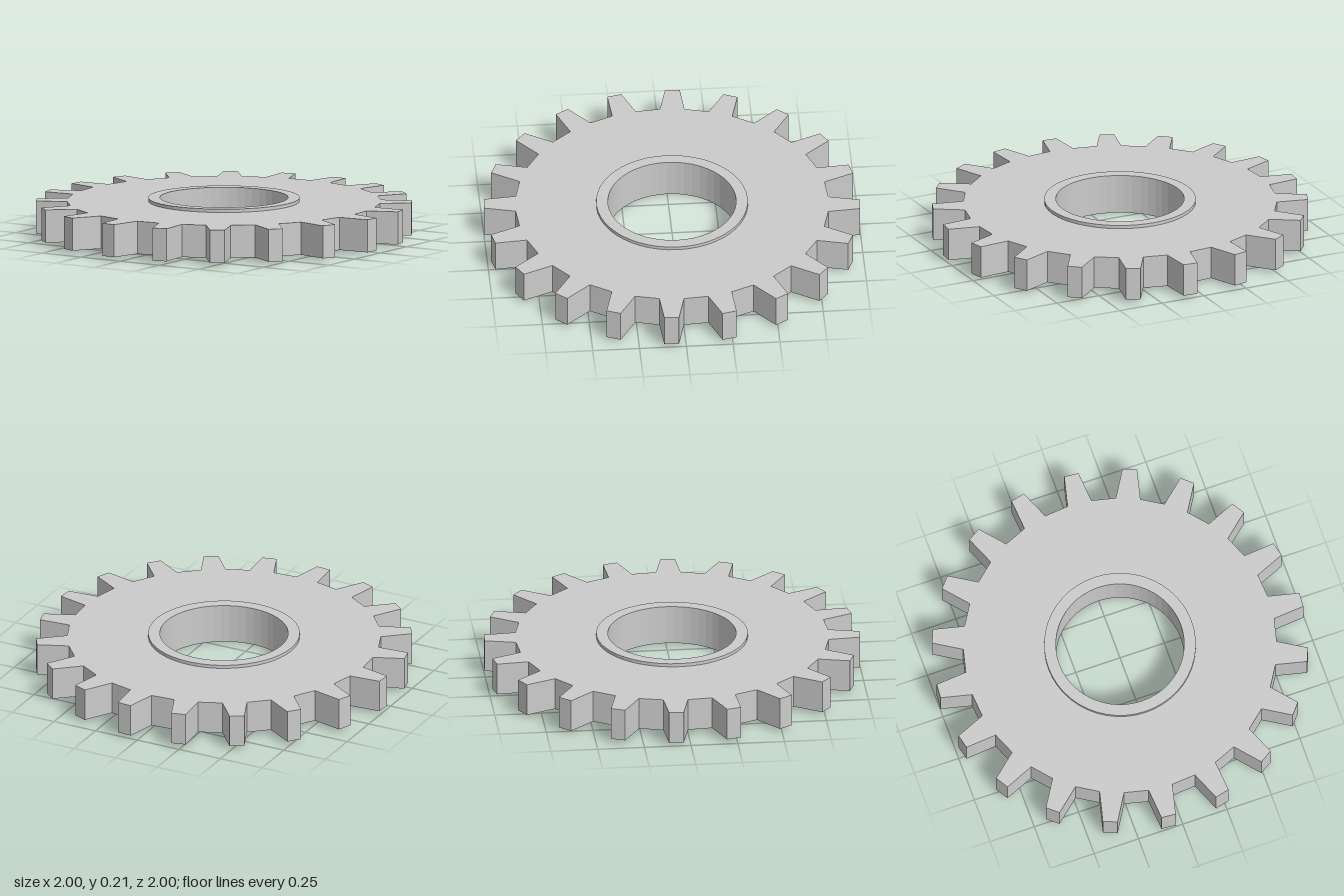
import * as THREE from 'three';

const TEETH = 20;
const ROOT_RADIUS = 0.835;
const TIP_RADIUS = 1.001;
const HUB_RADIUS = 0.404;
const BORE_RADIUS = 0.342;
const HEIGHT = 0.212;
const LIP = 0.018; // how far the hub stands proud of each face
const SEGMENTS = 48;

export function createModel() {
  const group = new THREE.Group();
  group.name = 'gear';
  const material = new THREE.MeshStandardMaterial({ color: 0xcccccc, flatShading: true });

  // Toothed disc: each pitch has a tapered tooth, then a straight valley
  const pitch = (Math.PI * 2) / TEETH;
  const tooth = [[0, ROOT_RADIUS], [0.125, TIP_RADIUS], [0.375, TIP_RADIUS], [0.5, ROOT_RADIUS]];
  const points = [];
  for (let i = 0; i < TEETH; i++) {
    for (const [part, radius] of tooth) {
      const angle = (i + part) * pitch;
      points.push(new THREE.Vector2(Math.cos(angle) * radius, Math.sin(angle) * radius));
    }
  }
  const outline = new THREE.Shape(points);
  const hole = new THREE.Path();
  hole.absarc(0, 0, HUB_RADIUS - 0.02, 0, Math.PI * 2, true);
  outline.holes.push(hole);
  const discGeometry = new THREE.ExtrudeGeometry(outline, {
    depth: HEIGHT - 2 * LIP, bevelEnabled: false, curveSegments: SEGMENTS / 2,
  });
  discGeometry.rotateX(Math.PI / 2).translate(0, HEIGHT - LIP, 0);
  const disc = new THREE.Mesh(discGeometry, material);
  disc.name = 'toothedDisc';
  group.add(disc);

  // Hub ring around the bore, closed profile
  const profile = [
    [BORE_RADIUS, 0], [HUB_RADIUS, 0], [HUB_RADIUS, HEIGHT], [BORE_RADIUS, HEIGHT], [BORE_RADIUS, 0],
  ].map(([x, y]) => new THREE.Vector2(x, y));
  const hub = new THREE.Mesh(new THREE.LatheGeometry(profile, SEGMENTS), material);
  hub.name = 'hubRing';
  group.add(hub);

  return group;
}
